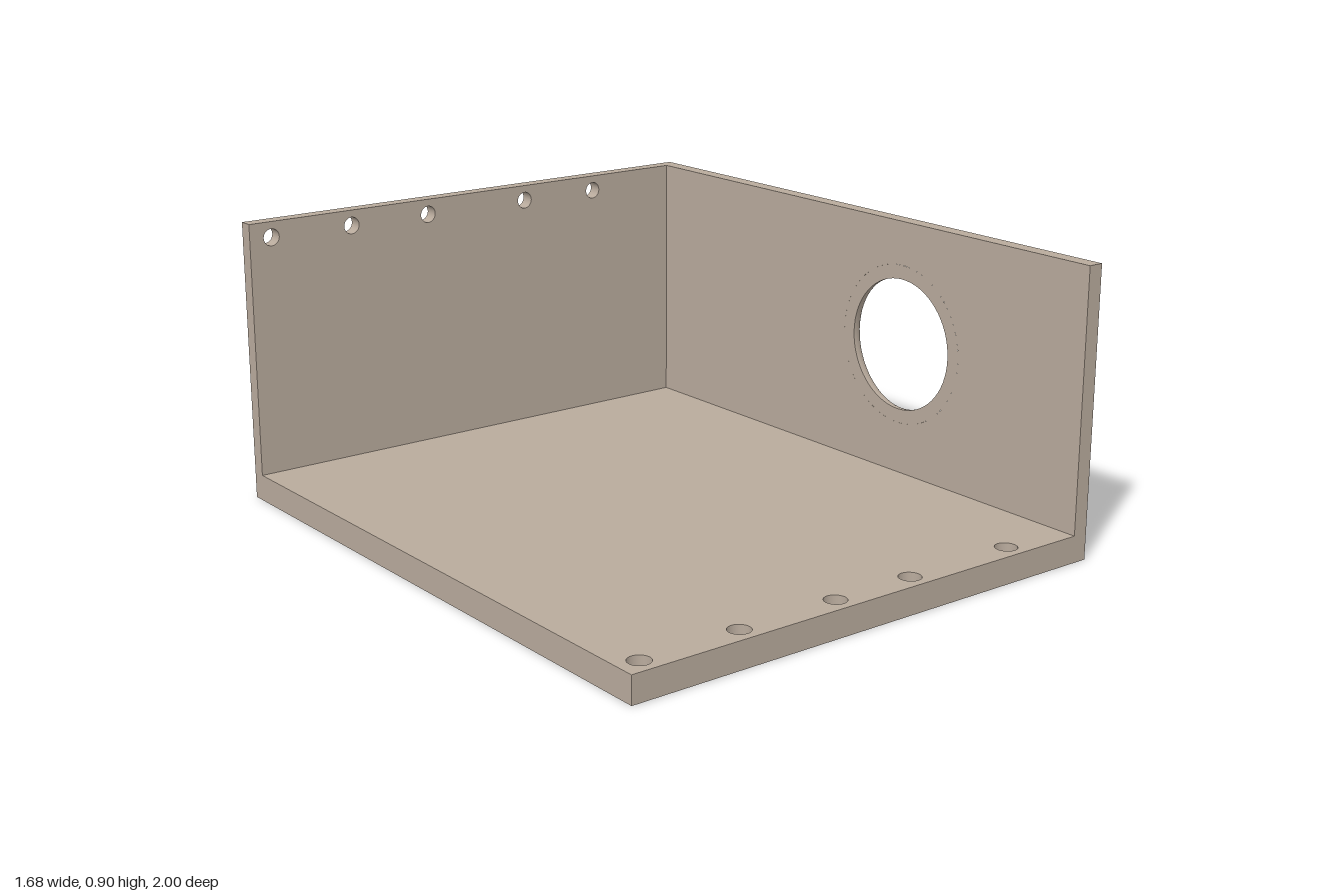
import * as THREE from 'three';

const W = 0.84, D = 1, H = 0.9;              // half width, half depth, height
const FLOOR = 0.085, WALL = 0.05, BACK = 0.046;
const SEGMENTS = 64;

// Rectangular plate pierced by round holes given as [x, y, radius]
function plate(x0, y0, x1, y1, depth, holes) {
  const shape = new THREE.Shape([[x0, y0], [x1, y0], [x1, y1], [x0, y1]].map(([x, y]) => new THREE.Vector2(x, y)));
  for (const [x, y, r] of holes) {
    const hole = new THREE.Path();
    hole.absarc(x, y, r, 0, Math.PI * 2, true);
    shape.holes.push(hole);
  }
  return new THREE.ExtrudeGeometry(shape, { depth, bevelEnabled: false, curveSegments: SEGMENTS });
}

export function createModel() {
  const model = new THREE.Group();
  model.name = 'openEnclosure';
  const taupe = new THREE.MeshStandardMaterial({ color: 0xb8aa9c });
  taupe.name = 'taupe';

  const add = (name, geometry) => {
    const mesh = new THREE.Mesh(geometry, taupe);
    mesh.name = name;
    model.add(mesh);
    return mesh;
  };

  // Floor with screw holes along the front edge
  const floorHoles = [-0.77, -0.44, -0.1, 0.18, 0.565].map((x) => [x, -0.94, 0.034]);
  add('floor', plate(-W, -D, W, D, FLOOR, floorHoles).rotateX(-Math.PI / 2));

  // Back wall with screw holes along the top edge
  const backHoles = [-0.765, -0.48, -0.195, 0.185, 0.467].map((x) => [x, 0.85, 0.027]);
  add('backWall', plate(-W, FLOOR, W - WALL, H, BACK, backHoles).translate(0, 0, -D));

  // Side wall with a large port
  const portZ = 0.243, portY = 0.505, portR = 0.211, round = 0.045;
  const side = plate(-D, FLOOR, D, H, WALL, [[-portZ, portY, portR + round]]);
  add('sideWall', side.rotateY(Math.PI / 2).translate(W - WALL, 0, 0));

  // Port rim: rounded over on the outside, sharp on the inside
  const bore = [];
  for (let i = 0; i <= 12; i++) {
    const a = (i / 12) * Math.PI / 2;
    bore.push(new THREE.Vector2(portR + round * (1 - Math.sin(a)), WALL - round * (1 - Math.cos(a))));
  }
  bore.push(new THREE.Vector2(portR, 0));
  const lip = [new THREE.Vector2(portR, 0), new THREE.Vector2(portR + round, 0)];
  for (const [name, profile] of [['portRoundedBore', bore], ['portInnerLip', lip]]) {
    const rim = new THREE.LatheGeometry(profile, SEGMENTS).rotateZ(-Math.PI / 2);
    add(name, rim.translate(W - WALL, portY, portZ));
  }

  return model;
}
